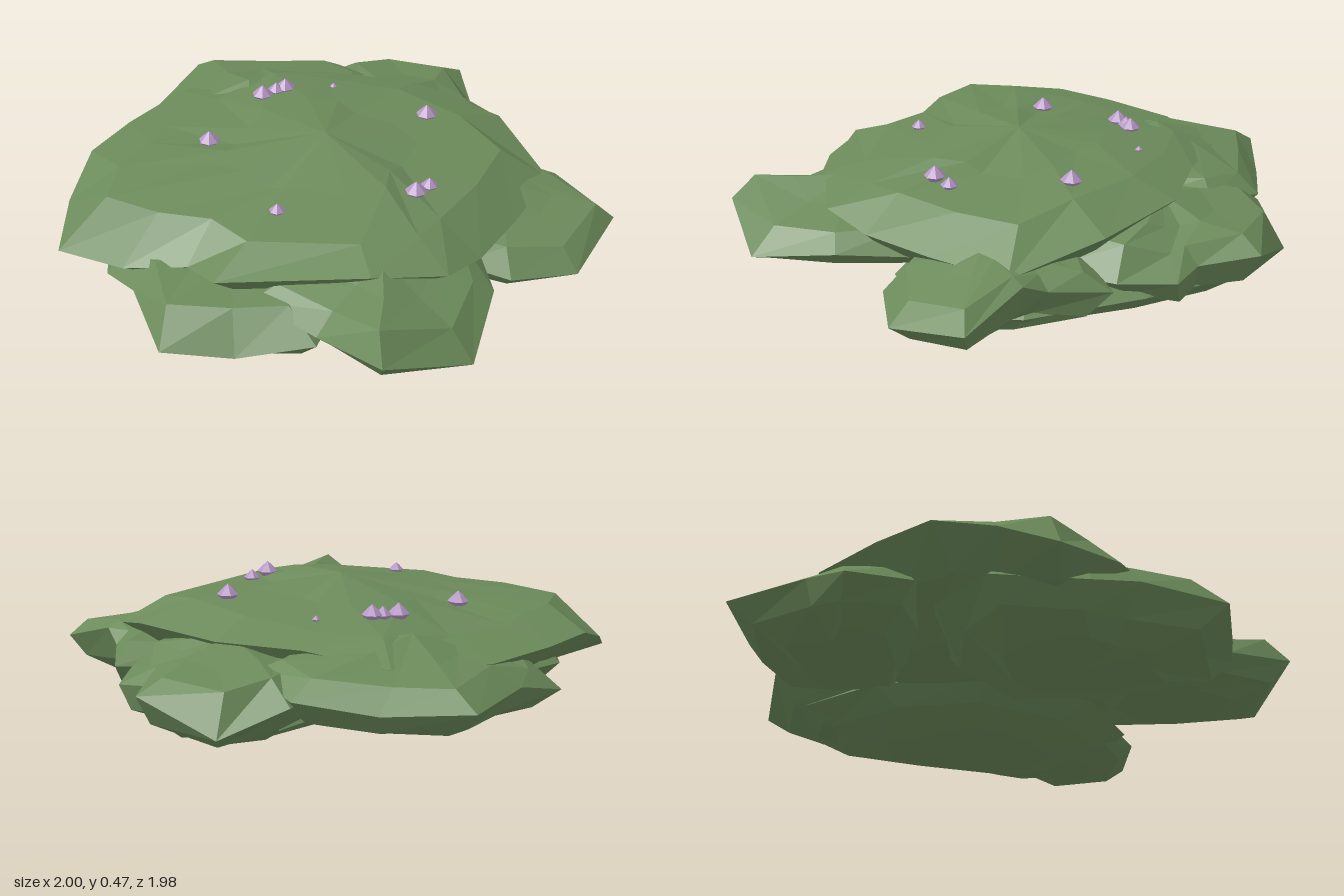
import * as THREE from 'three';

// Seeded jitter in the range -0.5 .. 0.5
function makeRandom(seed) {
  let s = seed;
  return () => {
    s = (s * 16807) % 2147483647;
    return s / 2147483647 - 0.5;
  };
}

// Faceted lobe lofted through scaled copies of its rim, listed clockwise from above.
// A fourth rim value sets how far that side of the top bulges.
function lobeGeometry({ centre, top, bottom, rim, seed, bulge = 0.5, rough = 0.07 }) {
  const random = makeRandom(seed);
  // Rows: [scale of the rim, height: 1 = top, 0 = rim, -1 = bottom]
  const rows = (b) => [[0, 1], [0.42, 0.45 + b / 2], [0.78, b], [1, 0], [0.82, -0.55], [0.5, -0.92], [0, -1]];
  const rings = rows(bulge).map((_, r) => rim.map(([x, y, z, side = bulge]) => {
    const [scale, k] = rows(side)[r];
    const free = scale > 0 && scale < 1 ? rough : 0;
    const target = k > 0 ? top : bottom;
    return [
      centre[0] + (x - centre[0]) * scale + random() * free,
      y + (target - y) * Math.abs(k) + random() * free * 0.35,
      centre[1] + (z - centre[1]) * scale + random() * free,
    ];
  }));
  const positions = [];
  for (let r = 0; r < rings.length - 1; r++) {
    for (let i = 0; i < rim.length; i++) {
      const j = (i + 1) % rim.length;
      const [a, b, c, d] = [rings[r][i], rings[r][j], rings[r + 1][j], rings[r + 1][i]];
      if (r > 0) positions.push(...a, ...b, ...c);
      if (r < rings.length - 2) positions.push(...a, ...c, ...d);
    }
  }
  const geometry = new THREE.BufferGeometry();
  geometry.setAttribute('position', new THREE.Float32BufferAttribute(positions, 3));
  geometry.computeVertexNormals();
  return geometry;
}

const LOBES = {
  crown: {
    centre: [-0.05, -0.04], top: 0.48, bottom: 0.1, seed: 11, bulge: 0.5, rough: 0.08,
    rim: [[-1, 0.17, 0.25, 0.6], [-0.98, 0.25, 0.05], [-0.92, 0.32, -0.17, 0.33], [-0.8, 0.32, -0.37, 0.33],
      [-0.62, 0.32, -0.6, 0.36], [-0.3, 0.33, -0.76, 0.38], [0, 0.36, -0.67, 0.4], [0.3, 0.36, -0.6],
      [0.61, 0.35, -0.36], [0.77, 0.27, -0.05], [0.62, 0.27, 0.22], [0.48, 0.28, 0.45],
      [0.36, 0.32, 0.6, 0.4], [0.1, 0.35, 0.65, 0.35], [-0.42, 0.31, 0.62, 0.4], [-0.52, 0.27, 0.48],
      [-0.75, 0.22, 0.42, 0.6]],
  },
  frontLobe: {
    centre: [0.14, 0.55], top: 0.36, bottom: 0.1, seed: 23, bulge: 0.5, rough: 0.03,
    rim: [[-0.3, 0.22, 0.6], [-0.2, 0.25, 0.3], [0.2, 0.25, 0.15], [0.48, 0.2, 0.25],
      [0.52, 0.22, 0.55, 0.35], [0.43, 0.16, 0.86, 0.45], [0.13, 0.25, 0.99, 0.85], [-0.08, 0.2, 0.77]],
  },
  frontLeftLobe: {
    centre: [-0.42, 0.27], top: 0.3, bottom: 0.005, seed: 37, bulge: 0.65, rough: 0.05,
    rim: [[-0.82, 0.13, 0.33], [-0.84, 0.16, 0], [-0.65, 0.16, -0.2], [-0.3, 0.17, -0.24],
      [0, 0.14, -0.05], [0.06, 0.14, 0.35], [-0.08, 0.16, 0.77], [-0.35, 0.11, 0.77],
      [-0.6, 0.13, 0.76], [-0.71, 0.17, 0.48]],
  },
  backRightLobe: {
    centre: [0.26, -0.55], top: 0.37, bottom: 0.06, seed: 41, bulge: 0.6, rough: 0.05,
    rim: [[-0.15, 0.2, -0.5], [0, 0.24, -0.91], [0.22, 0.15, -0.99], [0.5, 0.25, -0.88, 0.4],
      [0.53, 0.22, -0.67, 0.35], [0.63, 0.2, -0.6, 0.35], [0.64, 0.2, -0.4], [0.55, 0.2, -0.15], [0.1, 0.2, -0.2]],
  },
  backLeftLobe: {
    centre: [-0.35, -0.55], top: 0.4, bottom: 0.1, seed: 53, bulge: 0.42, rough: 0.05,
    rim: [[-0.75, 0.2, -0.25], [-0.84, 0.2, -0.46], [-0.71, 0.25, -0.62], [-0.58, 0.25, -0.93],
      [-0.28, 0.23, -0.93], [0, 0.26, -0.91], [0.16, 0.3, -0.73], [0.1, 0.25, -0.4], [-0.3, 0.25, -0.2]],
  },
  rightLobe: {
    centre: [0.6, 0.05], top: 0.32, bottom: 0.035, seed: 67, rough: 0.04,
    rim: [[0.3, 0.15, 0], [0.4, 0.18, -0.3], [0.7, 0.2, -0.39], [0.75, 0.22, -0.18],
      [0.8, 0.26, -0.1], [1, 0.18, 0.07, 0.45], [0.84, 0.12, 0.33, 0.4], [0.6, 0.13, 0.38], [0.4, 0.15, 0.3]],
  },
  rightBase: {
    centre: [0.32, -0.22], top: 0.3, bottom: 0.01, seed: 83, rough: 0.05,
    rim: [[-0.15, 0.12, -0.1], [-0.13, 0.12, -0.5], [0.05, 0.13, -0.8], [0.4, 0.13, -0.84],
      [0.6, 0.13, -0.5], [0.74, 0.11, -0.1], [0.72, 0.1, 0.2], [0.45, 0.12, 0.36], [0.1, 0.12, 0.25]],
  },
};

// Flowers: [x, z, radius]
const FLOWERS = [
  [-0.29, -0.4, 0.039], [-0.24, -0.43, 0.031], [-0.205, -0.445, 0.037], [-0.02, -0.475, 0.014],
  [0.325, -0.24, 0.039], [-0.475, -0.11, 0.039], [0.315, 0.18, 0.031], [0.265, 0.235, 0.039], [-0.215, 0.345, 0.028],
];

export function createModel() {
  const model = new THREE.Group();
  model.name = 'floweringBush';
  const leafGreen = new THREE.MeshStandardMaterial({ color: 0x6b8a5a });
  leafGreen.name = 'leafGreen';
  const petalPurple = new THREE.MeshStandardMaterial({ color: 0xb595c4 });
  petalPurple.name = 'petalPurple';

  // Overlapping leafy lobes
  const foliage = new THREE.Group();
  foliage.name = 'foliage';
  for (const [name, lobe] of Object.entries(LOBES)) {
    const mesh = new THREE.Mesh(lobeGeometry(lobe), leafGreen);
    mesh.name = name;
    foliage.add(mesh);
  }
  model.add(foliage);

  // Pointed seven-sided buds seated on the foliage
  const profile = [[0, -0.6], [0.6, -0.45], [1, 0], [0.5, 0.5], [0, 0.95]].map(([x, y]) => new THREE.Vector2(x, y));
  const budGeometry = new THREE.LatheGeometry(profile, 7).toNonIndexed();
  budGeometry.computeVertexNormals();
  const flowers = new THREE.Group();
  flowers.name = 'flowers';
  const down = new THREE.Vector3(0, -1, 0);
  for (const [x, z, radius] of FLOWERS) {
    const [hit] = new THREE.Raycaster(new THREE.Vector3(x, 2, z), down).intersectObject(foliage, true);
    const flower = new THREE.Mesh(budGeometry, petalPurple);
    flower.name = 'flower';
    flower.position.set(x, hit.point.y + radius * 0.3, z);
    flower.scale.setScalar(radius);
    flowers.add(flower);
  }
  model.add(flowers);
  return model;
}
